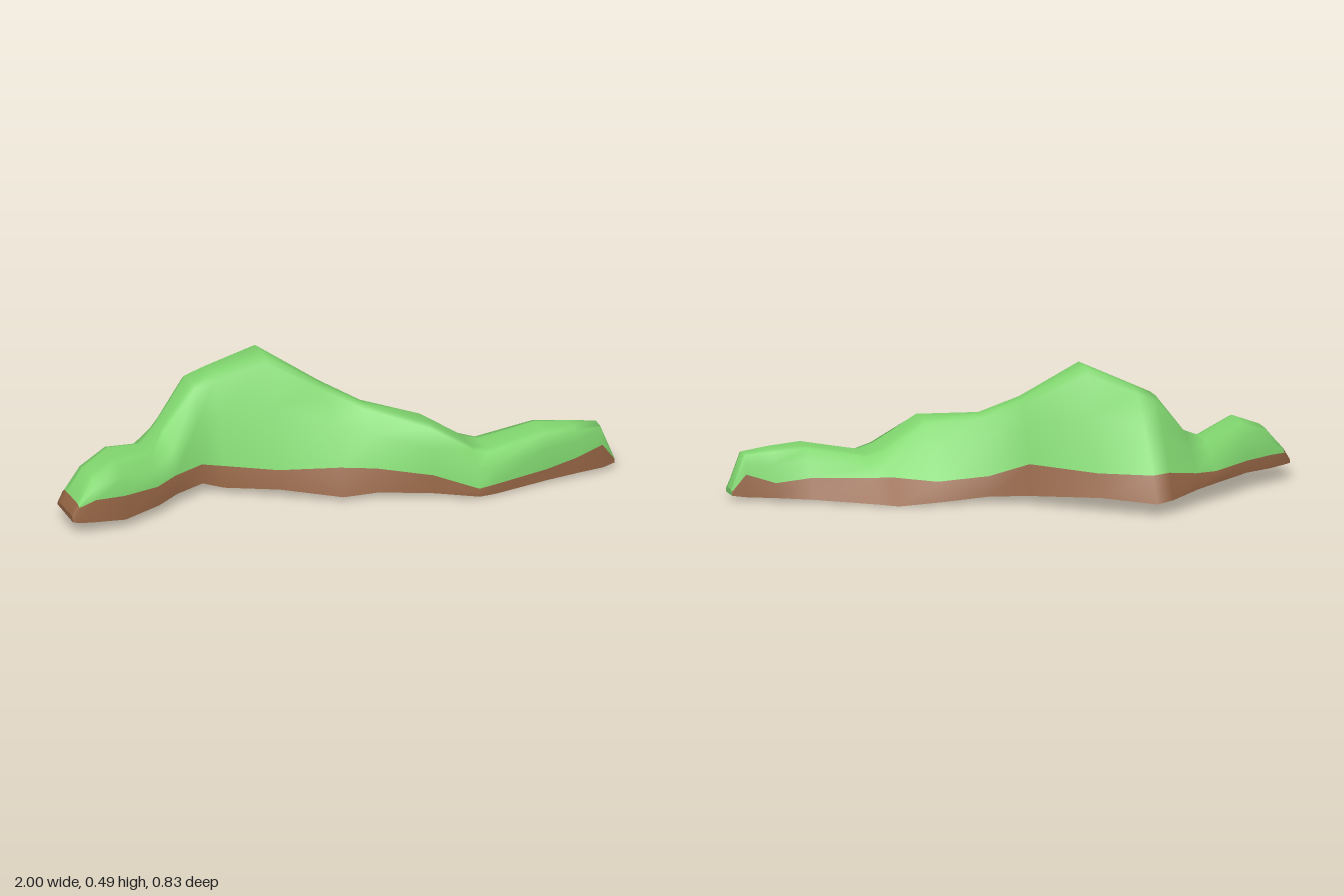
import * as THREE from 'three';

// Cross-sections along the ridge: x, back foot z, front foot z, crest back z, crest front z, crest y
const SECTIONS = [
  [-1, 0.055, 0.215, 0.07, 0.2, 0.07],
  [-0.975, 0.035, 0.22, 0.06, 0.195, 0.11],
  [-0.91, -0.01, 0.222, 0.04, 0.165, 0.185],
  [-0.8, -0.08, 0.215, 0.0, 0.135, 0.23],
  [-0.65, -0.21, 0.15, -0.08, 0.05, 0.185],
  [-0.56, -0.275, 0.09, -0.14, -0.05, 0.23],
  [-0.44, -0.375, 0.025, -0.18, -0.06, 0.378],
  [-0.37, -0.415, 0.055, -0.165, -0.045, 0.41],
  [-0.2, -0.29, 0.16, -0.12, 0.02, 0.485],
  [0, -0.1, 0.27, -0.01, 0.07, 0.36],
  [0.13, -0.02, 0.28, 0.07, 0.14, 0.295],
  [0.31, -0.02, 0.36, 0.18, 0.32, 0.265],
  [0.46, 0.0, 0.412, 0.19, 0.35, 0.165],
  [0.52, 0.035, 0.408, 0.2, 0.35, 0.145],
  [0.73, 0.15, 0.37, 0.22, 0.345, 0.187],
  [0.85, 0.2, 0.355, 0.24, 0.335, 0.178],
  [0.95, 0.235, 0.345, 0.26, 0.325, 0.165],
  [1, 0.25, 0.33, 0.265, 0.315, 0.04],
];

// Soil band of each section: back foot y, front foot y, back top y, front top y, back inset, front inset
const SOIL = [
  [0.055, 0.05, 0.066, 0.066, 0.006, 0.006],
  [0.055, 0.045, 0.095, 0.1, 0.008, 0.008],
  [0.055, 0.04, 0.1, 0.12, 0.01, 0.012],
  [0.06, 0.03, 0.1, 0.115, 0.01, 0.015],
  [0.06, 0.035, 0.1, 0.1, 0.012, 0.015],
  [0.055, 0.04, 0.11, 0.105, 0.018, 0.015],
  [0.045, 0.035, 0.135, 0.105, 0.045, 0.008],
  [0.042, 0.02, 0.135, 0.1, 0.055, 0.01],
  [0.05, 0.03, 0.13, 0.1, 0.045, 0.012],
  [0.03, 0.015, 0.14, 0.115, 0.025, 0.035],
  [0.02, 0.018, 0.09, 0.1, 0.015, 0.025],
  [0.01, 0.02, 0.075, 0.085, 0.045, 0.01],
  [0, 0.005, 0.085, 0.035, 0.1, 0.002],
  [0.003, 0.005, 0.085, 0.04, 0.07, 0.003],
  [0.01, 0.01, 0.085, 0.05, 0.02, 0.005],
  [0.013, 0.013, 0.065, 0.07, 0.01, 0.005],
  [0.015, 0.015, 0.095, 0.1, 0.01, 0.005],
  [0.02, 0.02, 0.033, 0.033, 0.004, 0.004],
];

const lerp = THREE.MathUtils.lerp;

// Points of one section, from the back foot over the crest to the front foot
function ring([x, zb, zf, cb, cf, top], i) {
  const [yb, yf, soilB, soilF, insetB, insetF] = SOIL[i];
  const zSoilB = zb + insetB, zSoilF = zf - insetF;
  const steep = x > -0.5 && x < 0.2;
  const shoulder = lerp(Math.max(soilB, soilF), top, 0.93);
  return [
    [x, yb, zb], [x, soilB, zSoilB],
    [x, lerp(soilB, top, 0.55), lerp(zSoilB, cb, 0.55)],
    [x, shoulder, cb], [x, top, lerp(cb, cf, 0.2)],
    [x, top, lerp(cb, cf, 0.8)], [x, shoulder, cf],
    [x, lerp(soilF, top, 0.55), lerp(zSoilF, cf, steep ? 0.48 : 0.32)],
    [x, soilF, zSoilF], [x, yf, zf],
  ];
}

function geometryOf(points, indices) {
  const g = new THREE.BufferGeometry();
  g.setAttribute('position', new THREE.Float32BufferAttribute(points.flat(), 3));
  g.setIndex(indices);
  g.computeVertexNormals();
  return g;
}

// Skin over rows of n points each; isSoil picks the material of each cell
function skin(rows, isSoil) {
  const n = rows[0].length;
  const faces = [[], []];
  for (let i = 0; i < rows.length - 1; i++) {
    for (let j = 0; j < n - 1; j++) {
      const a = i * n + j, b = a + n;
      faces[isSoil(i, j) ? 1 : 0].push(a, a + 1, b, a + 1, b + 1, b);
    }
  }
  const g = geometryOf(rows.flat(), faces.flat());
  g.addGroup(0, faces[0].length, 0);
  g.addGroup(faces[0].length, faces[1].length, 1);
  return g;
}

export function createModel() {
  const grass = new THREE.MeshStandardMaterial({ color: 0x82d870 });
  const soil = new THREE.MeshStandardMaterial({ color: 0x946444 });
  grass.name = 'grassGreen';
  soil.name = 'soilBrown';

  const rings = SECTIONS.map(ring);
  const n = rings[0].length;
  const group = new THREE.Group();
  group.name = 'hill';
  const add = (name, geometry, material) => {
    const mesh = new THREE.Mesh(geometry, material);
    mesh.name = name;
    group.add(mesh);
  };

  // Hillside: one smooth skin; its lowest strips and the right tip are soil
  add('hillside', skin(rings, (i, j) => i === 0 || j === 0 || j === n - 2), [grass, soil]);

  // Underside, front foot to back foot, with soil reaching under the back edge
  const feet = rings.map((r) => {
    const back = r[0], front = r[n - 1], x = back[0];
    const split = x < -0.4 ? 0.12 + (-0.44 - x) * 0.75 : 0.6;
    return [front, front.map((v, k) => lerp(v, back[k], split)), back];
  });
  const soilBelow = (i, j) => {
    const x = SECTIONS[i][0];
    return j === 1 && (x < -0.4 || (x > 0.1 && x < 0.4));
  };
  add('underside', skin(feet, soilBelow), [grass, soil]);

  // End caps
  const fan = [];
  for (let j = 1; j < n - 1; j++) fan.push(0, j, j + 1);
  add('leftEnd', geometryOf(rings[rings.length - 1], fan), grass);
  add('rightEnd', geometryOf(rings[0], [...fan].reverse()), soil);

  return group;
}
